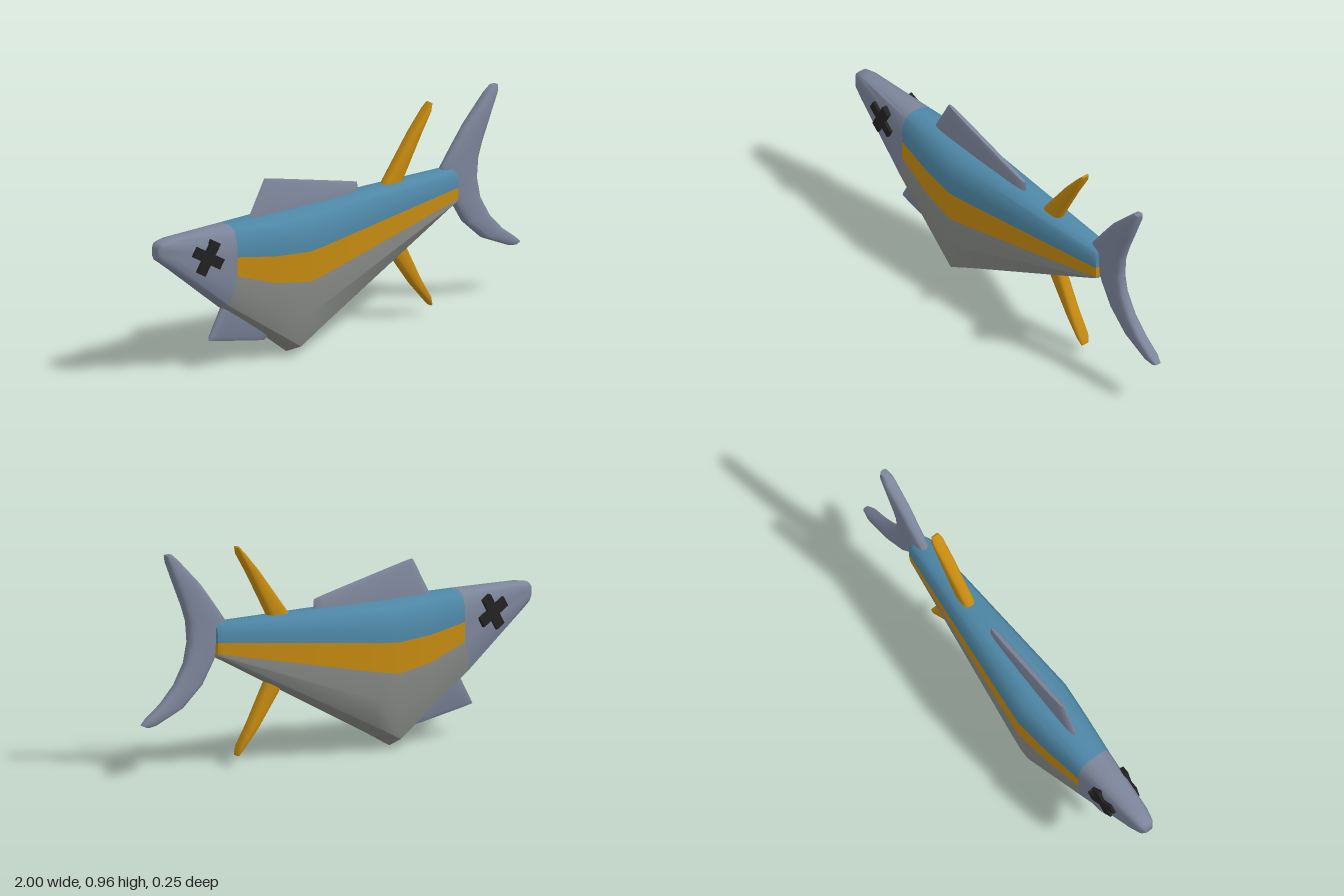
import * as THREE from 'three';
import { toCreasedNormals } from 'three/addons/utils/BufferGeometryUtils.js';

const paint = (name, color) => new THREE.MeshStandardMaterial({ name, color });
const mix = (a, b, t) => a + (b - a) * t;

// Skin a list of closed rings; pick(section, column) gives the material index of each face.
function loft(rings, pick, crease) {
  const n = rings[0].length;
  const buckets = [];
  for (let s = 0; s < rings.length - 1; s++) {
    for (let i = 0; i < n; i++) {
      const a = s * n + i, b = s * n + (i + 1) % n;
      const m = pick(s, i);
      (buckets[m] ??= []).push(a, b, b + n, a, b + n, a + n);
    }
  }
  const geo = new THREE.BufferGeometry();
  geo.setAttribute('position', new THREE.Float32BufferAttribute(rings.flat(2), 3));
  geo.setIndex(buckets.flat());
  let start = 0;
  buckets.forEach((list, m) => {
    geo.addGroup(start, list.length, m);
    start += list.length;
  });
  return toCreasedNormals(geo, crease);
}

// Body cross-section: top, upper and lower stripe edge, bottom, half width, shift of the belly in x
function bodyRing([x, top, up, low, bottom, w, shift = 0]) {
  const half = [
    [x, top, 0], [x, top, w * 0.35],
    [x, mix(top, up, 0.12), w * 0.76], [x, mix(top, up, 0.55), w],
    [x, up, w], [x, low, w],
    [x + shift * 0.4, mix(low, bottom, 0.46), w],
    [x + shift * 0.85, mix(low, bottom, 0.87), w * 0.76],
    [x + shift, bottom, 0],
  ];
  const mirrored = half.slice(1, -1).reverse().map(([px, y, z]) => [px, y, -z]);
  return [...half, ...mirrored];
}

// Fin from chords [x1, y1, x2, y2, half thickness], point 1 lying left of the direction of travel
function finGeometry(chords, power = 0.6, sides = 16) {
  const ring = ([x1, y1, x2, y2, h], scale = 1) => Array.from({ length: sides }, (_, i) => {
    const t = (i / sides) * Math.PI * 2;
    const c = Math.cos(t), s = Math.sin(t);
    const k = Math.sign(c) * Math.abs(c) ** power * scale / 2;
    return [
      (x1 + x2) / 2 + k * (x1 - x2),
      (y1 + y2) / 2 + k * (y1 - y2),
      Math.sign(s) * Math.abs(s) ** power * h * scale,
    ];
  });
  const rings = [ring(chords[0], 0), ...chords.map((c) => ring(c)), ring(chords.at(-1), 0)];
  return loft(rings, () => 0, 0.9);
}

export function createModel() {
  const slate = paint('slate', 0x7c859a);
  const blue = paint('blue', 0x4e87a6);
  const gold = paint('gold', 0xc58a10);
  const belly = paint('bellyGrey', 0x868985);
  const black = paint('black', 0x222222);

  const fish = new THREE.Group();
  fish.name = 'fish';
  const add = (name, geo, mat, parent = fish) => {
    const mesh = new THREE.Mesh(geo, mat);
    mesh.name = name;
    parent.add(mesh);
    return mesh;
  };

  // Body with head, back, side stripe and belly; both ends close to a flat seam
  const stations = [
    [-1, 0.62, 0.605, 0.59, 0.57, 0],
    [-1, 0.62, 0.605, 0.59, 0.57, 0.02],
    [-0.985, 0.636, 0.605, 0.585, 0.55, 0.033],
    [-0.93, 0.644, 0.6, 0.565, 0.507, 0.046],
    [-0.615, 0.645, 0.515, 0.43, 0.282, 0.083, -0.04],
    [-0.42, 0.643, 0.485, 0.365, 0.12, 0.108, -0.01],
    [-0.25, 0.642, 0.475, 0.34, 0.004, 0.125, -0.03],
    [-0.15, 0.642, 0.482, 0.355, 0.078, 0.117],
    [0.61, 0.642, 0.56, 0.508, 0.485, 0.053],
    [0.63, 0.63, 0.557, 0.51, 0.495, 0.044],
    [0.63, 0.63, 0.557, 0.51, 0.495, 0],
  ];
  const bodyColor = (s, i) => {
    if (s < 4) return 0;
    const column = i < 8 ? i : 15 - i;
    return column < 4 ? 1 : column === 4 ? 2 : 3;
  };
  add('body', loft(stations.map(bodyRing), bodyColor, 0.85), [slate, blue, gold, belly]);

  // Crescent tail, from lower tip to upper tip
  add('tailFin', finGeometry([
    [0.965, 0.222, 0.995, 0.235, 0.016],
    [0.925, 0.23, 0.965, 0.262, 0.026],
    [0.79, 0.29, 0.895, 0.315, 0.028],
    [0.69, 0.38, 0.825, 0.39, 0.028],
    [0.63, 0.48, 0.775, 0.48, 0.028],
    [0.59, 0.57, 0.757, 0.57, 0.028],
    [0.567, 0.645, 0.765, 0.66, 0.028],
    [0.63, 0.73, 0.787, 0.73, 0.028],
    [0.7, 0.82, 0.82, 0.81, 0.028],
    [0.81, 0.93, 0.868, 0.93, 0.026],
    [0.842, 0.961, 0.875, 0.961, 0.016],
  ]), slate);

  // Broad thin fins on the back and under the chest
  add('dorsalFin', finGeometry([
    [-0.5, 0.62, 0.112, 0.62, 0.018],
    [-0.41, 0.785, 0.11, 0.67, 0.016],
    [-0.4, 0.802, 0.107, 0.682, 0.009],
  ], 0.5), slate);
  add('chestFin', finGeometry([
    [-0.34, 0.14, -0.6, 0.34, 0.022],
    [-0.385, 0.1, -0.7, 0.155, 0.02],
    [-0.4, 0.08, -0.708, 0.14, 0.01],
  ], 0.5), slate);

  // Slender swept fins above and below the rear body
  add('upperSpineFin', finGeometry([
    [0.235, 0.62, 0.34, 0.62, 0.028],
    [0.255, 0.655, 0.355, 0.655, 0.028],
    [0.4, 0.845, 0.448, 0.83, 0.028],
    [0.475, 0.93, 0.5, 0.92, 0.027],
    [0.502, 0.958, 0.51, 0.953, 0.018],
  ]), gold);
  add('lowerSpineFin', finGeometry([
    [0.34, 0.4, 0.235, 0.4, 0.028],
    [0.36, 0.355, 0.28, 0.33, 0.028],
    [0.448, 0.18, 0.4, 0.165, 0.028],
    [0.5, 0.09, 0.475, 0.08, 0.027],
    [0.51, 0.055, 0.502, 0.048, 0.018],
  ]), gold);

  // Crossed-bar eyes on both cheeks
  for (const side of [1, -1]) {
    const eye = new THREE.Group();
    eye.name = side > 0 ? 'frontEye' : 'backEye';
    eye.position.set(-0.765, 0.54, side * 0.068);
    eye.rotation.y = -side * 0.12;
    for (const angle of [Math.PI / 3, -Math.PI / 6]) {
      const bar = add('eyeBar', new THREE.BoxGeometry(0.155, 0.048, 0.022), black, eye);
      bar.rotation.z = angle;
    }
    fish.add(eye);
  }
  return fish;
}
